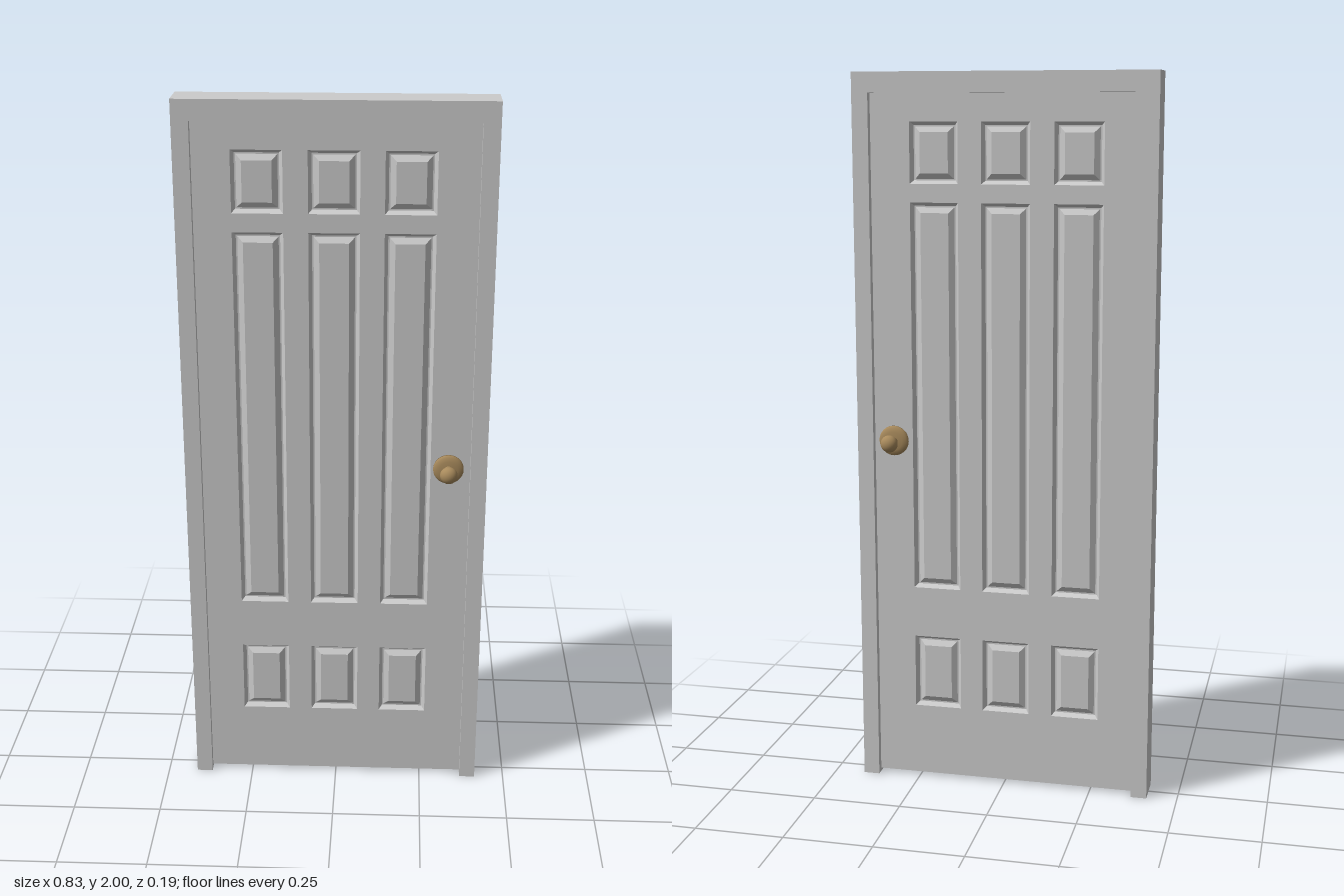
import * as THREE from 'three';

const grey = new THREE.MeshStandardMaterial({ color: 0xcccccc, flatShading: true });
const brass = new THREE.MeshStandardMaterial({ color: 0xa88a5c });

const HALF = 0.03; // half thickness of the door leaf
const COLUMNS = [-0.203, -0.004, 0.194];
const ROWS = [[0.215, 0.425], [0.57, 1.655], [1.705, 1.87]];
const PANEL_WIDTH = 0.134;

function addMesh(parent, name, geometry, material) {
  const mesh = new THREE.Mesh(geometry, material);
  mesh.name = name;
  parent.add(mesh);
  return mesh;
}

function extrude(shape, depth) {
  const geometry = new THREE.ExtrudeGeometry(shape, { depth, bevelEnabled: false });
  return geometry.translate(0, 0, -depth / 2);
}

function polygon(points) {
  return new THREE.Shape(points.map(([x, y]) => new THREE.Vector2(x, y)));
}

// Raised panel: concentric rectangles [inset, z], closed by a flat field
function panelGeometry(w, h) {
  const rings = [[0, HALF], [0.009, 0.017], [0.013, 0.017], [0.028, 0.027]];
  const positions = [], index = [];
  for (const [inset, z] of rings) {
    const x = w / 2 - inset, y = h / 2 - inset;
    positions.push(-x, -y, z, x, -y, z, x, y, z, -x, y, z);
  }
  for (let r = 0; r < rings.length - 1; r++) {
    for (let i = 0; i < 4; i++) {
      const a = r * 4 + i, b = r * 4 + (i + 1) % 4;
      index.push(a, b, b + 4, a, b + 4, a + 4);
    }
  }
  const last = (rings.length - 1) * 4;
  index.push(last, last + 1, last + 2, last, last + 2, last + 3);
  const geometry = new THREE.BufferGeometry();
  geometry.setAttribute('position', new THREE.Float32BufferAttribute(positions, 3));
  geometry.setIndex(index);
  const flat = geometry.toNonIndexed();
  flat.computeVertexNormals();
  return flat;
}

// Knob with rosette, stem and rounded grip, pointing along +z
function createKnob(stemEnd) {
  const knob = new THREE.Group();
  const rosette = [[0, 0], [0.042, 0], [0.042, 0.004], [0.037, 0.009], [0.026, 0.012], [0.013, 0.013]];
  const parts = [
    ['rosette', rosette],
    ['stem', [[0.013, 0.008], [0.012, stemEnd]]],
  ];
  for (const [name, profile] of parts) {
    const points = profile.map(([r, y]) => new THREE.Vector2(r, y));
    addMesh(knob, name, new THREE.LatheGeometry(points, 32).rotateX(Math.PI / 2), brass);
  }
  const grip = addMesh(knob, 'grip', new THREE.SphereGeometry(0.024, 32, 20), brass);
  grip.scale.z = 0.82;
  grip.position.z = stemEnd;
  return knob;
}

export function createModel() {
  const door = new THREE.Group();
  door.name = 'door';

  // Frame: two jambs and a head in one outline
  const frame = polygon([
    [-0.415, 0], [-0.37, 0], [-0.37, 1.945], [0.37, 1.945],
    [0.37, 0], [0.415, 0], [0.415, 2], [-0.415, 2],
  ]);
  addMesh(door, 'frame', extrude(frame, 0.1), grey);

  // Leaf with openings for the panels
  const leaf = polygon([[-0.37, 0.01], [0.37, 0.01], [0.37, 1.945], [-0.37, 1.945]]);
  for (const x of COLUMNS) {
    for (const [bottom, top] of ROWS) {
      const l = x - PANEL_WIDTH / 2, r = x + PANEL_WIDTH / 2;
      leaf.holes.push(polygon([[l, bottom], [l, top], [r, top], [r, bottom]]));
    }
  }
  addMesh(door, 'leaf', extrude(leaf, HALF * 2), grey);

  // Raised panels on both faces
  for (const [bottom, top] of ROWS) {
    const geometry = panelGeometry(PANEL_WIDTH, top - bottom);
    for (const x of COLUMNS) {
      for (const side of ['front', 'back']) {
        const panel = addMesh(door, side + 'Panel', geometry, grey);
        panel.position.set(x, (bottom + top) / 2, 0);
        if (side === 'back') panel.rotation.y = Math.PI;
      }
    }
  }

  // Knobs on both faces
  const frontKnob = createKnob(0.045);
  frontKnob.name = 'frontKnob';
  frontKnob.position.set(0.31, 0.995, HALF);
  const backKnob = createKnob(0.05);
  backKnob.name = 'backKnob';
  backKnob.position.set(0.315, 0.995, -HALF);
  backKnob.rotation.y = Math.PI;
  door.add(frontKnob, backKnob);

  return door;
}
